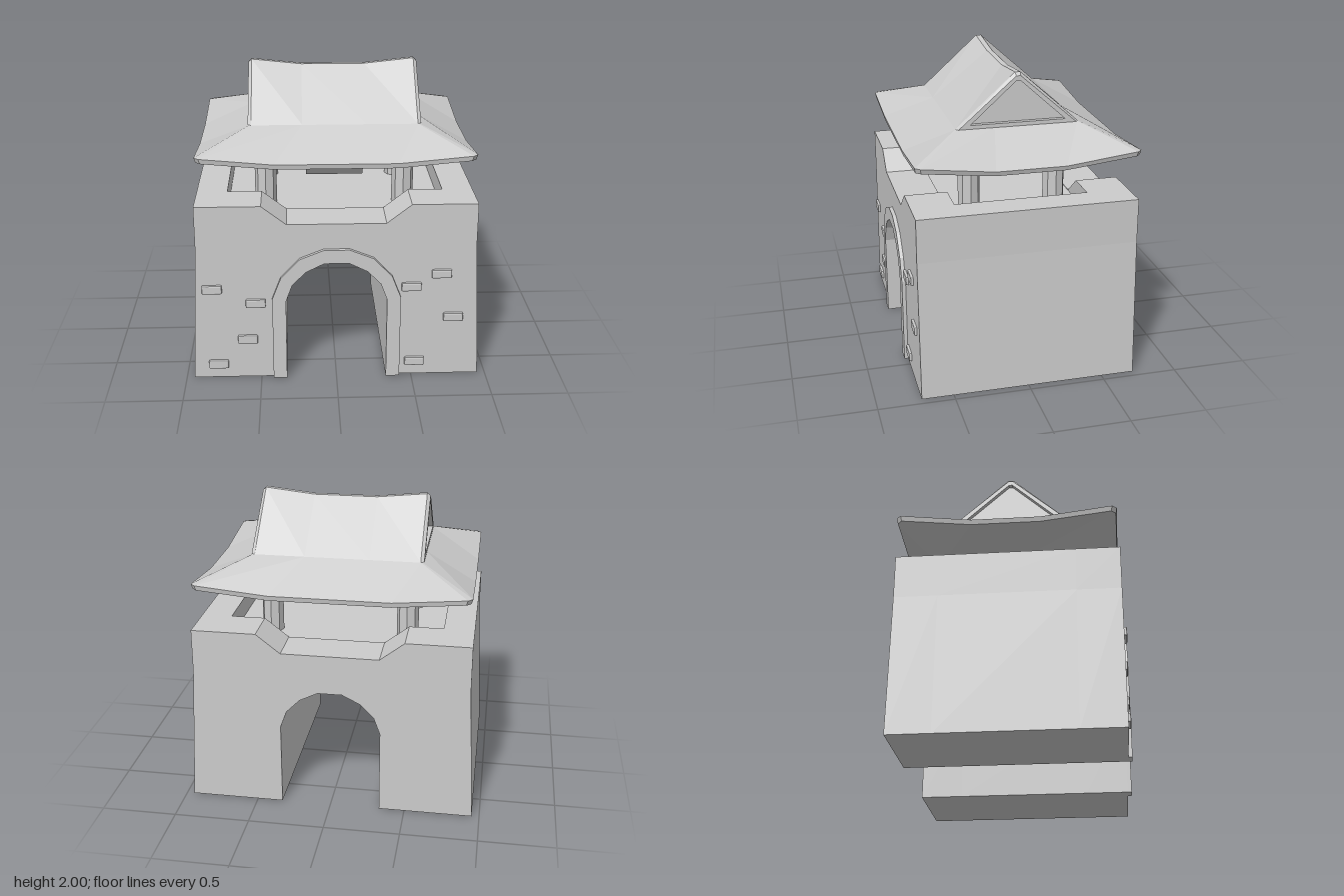
import * as THREE from 'three';
import { RoundedBoxGeometry } from 'three/addons/geometries/RoundedBoxGeometry.js';

const stone = new THREE.MeshStandardMaterial({ color: 0xcccccc, flatShading: true });

// Mirror right-hand points (x > 0) to make a path running left to right
const mirrored = (pts) => [...pts.map(([x, y]) => [-x, y]), ...[...pts].reverse()];

const archInner = mirrored([[0.33, 0], [0.33, 0.565], [0.288, 0.68], [0.2, 0.77], [0.08, 0.83]]);
const archOuter = mirrored([[0.42, 0], [0.42, 0.58], [0.362, 0.73], [0.24, 0.86], [0.083, 0.923]]);

function addMesh(parent, name, geometry, x = 0, y = 0, z = 0) {
  const mesh = new THREE.Mesh(geometry, stone);
  mesh.name = name;
  mesh.position.set(x, y, z);
  parent.add(mesh);
  return mesh;
}

// Extrude an outline from z0 to z1
function slab(points, z0, z1) {
  const shape = new THREE.Shape(points.map(([x, y]) => new THREE.Vector2(x, y)));
  const g = new THREE.ExtrudeGeometry(shape, { depth: z1 - z0, bevelEnabled: false });
  return g.translate(0, 0, z0);
}

// Skin a list of closed rings (counter-clockwise around the direction of travel) and cap both ends
function loft(rings) {
  const pos = [];
  const tri = (...corners) => corners.forEach((p) => pos.push(...p));
  const n = rings[0].length;
  for (let i = 0; i < rings.length - 1; i++) {
    for (let j = 0; j < n; j++) {
      const k = (j + 1) % n;
      const [a, b, c, d] = [rings[i][j], rings[i][k], rings[i + 1][k], rings[i + 1][j]];
      tri(a, b, c);
      tri(a, c, d);
    }
  }
  const first = rings[0], last = rings[rings.length - 1];
  for (let j = 1; j < n - 1; j++) {
    tri(first[0], first[j + 1], first[j]);
    tri(last[0], last[j], last[j + 1]);
  }
  const g = new THREE.BufferGeometry();
  g.setAttribute('position', new THREE.Float32BufferAttribute(pos, 3));
  g.computeVertexNormals();
  return g;
}

// Gate block: front and back walls with a dipped parapet, middle with a sunken floor
function buildWalls() {
  const walls = new THREE.Group();
  walls.name = 'gateWalls';
  const section = (top) => [
    [-0.95, 0], ...archInner, [0.95, 0], [0.905, 0.93], [0.905, 1.22],
    ...mirrored(top).reverse(), [-0.905, 1.22], [-0.905, 0.93],
  ];
  const parapet = section([[0.48, 1.22], [0.32, 1.095]]);
  const terrace = section([[0.705, 1.22], [0.705, 1.09]]);
  addMesh(walls, 'frontWall', slab(parapet, 0.43, 0.71));
  addMesh(walls, 'terraceAndPassage', slab(terrace, -0.44, 0.43));
  addMesh(walls, 'backWall', slab(parapet, -0.72, -0.44));

  // Raised band around the front of the arch
  addMesh(walls, 'archTrim', slab([...archOuter, ...[...archInner].reverse()], 0.70, 0.735));

  // Scattered raised stones
  const bricks = [
    [-0.81, 0.648], [-0.528, 0.545], [-0.585, 0.283], [-0.783, 0.1],
    [0.685, 0.738], [0.49, 0.648], [0.77, 0.425], [0.52, 0.1],
  ];
  for (const [x, y] of bricks) {
    addMesh(walls, 'raisedStone', new RoundedBoxGeometry(0.13, 0.06, 0.04, 1, 0.008), x, y, 0.708);
  }
  return walls;
}

// Eave-shaped ring of 16 points; corners may lift above the middle of each side
function eaveRing(w, d, cut, midX, midZ, yCorner, yFront, ySide) {
  const zc = -0.018;
  const half = [
    [-(w - cut), yCorner, d], [-midX, yFront, d], [midX, yFront, d], [w - cut, yCorner, d],
    [w, yCorner, d - cut], [w, ySide, midZ], [w, ySide, -midZ], [w, yCorner, -(d - cut)],
  ];
  return [...half, ...half.map(([x, y, z]) => [-x, y, -z])].map(([x, y, z]) => [x, y, z + zc]);
}

// Vertical gable section at x: ridge front, foot front, foot back, ridge back
function gableRing(x, foot, yFoot, ridge, yRidge) {
  const zc = -0.018;
  return [
    [x, yRidge, zc + ridge], [x, yFoot, zc + foot], [x, yFoot, zc - foot], [x, yRidge, zc - ridge],
  ];
}

function buildRoof() {
  const roof = new THREE.Group();
  roof.name = 'roof';

  // Soffit, eave edge and hipped slopes
  addMesh(roof, 'hippedEaves', loft([
    eaveRing(0.59, 0.435, 0.015, 0.3, 0.16, 1.39, 1.39, 1.39),
    eaveRing(0.88, 0.712, 0.03, 0.39, 0.225, 1.502, 1.46, 1.45),
    eaveRing(0.89, 0.718, 0.03, 0.39, 0.225, 1.535, 1.492, 1.48),
    eaveRing(0.55, 0.402, 0.008, 0.21, 0.15, 1.655, 1.655, 1.655),
  ]));

  // Sagging ridge with chamfered, recessed gable ends
  const side = [
    [0.21, 0.402, 1.655, 0.018, 1.965],
    [0.54, 0.402, 1.655, 0.018, 2.0],
    [0.562, 0.385, 1.655, 0.014, 1.98],
    [0.562, 0.31, 1.68, 0.012, 1.95],
    [0.53, 0.31, 1.68, 0.012, 1.95],
  ];
  addMesh(roof, 'gableRoof', loft([
    ...[...side].reverse().map(([x, ...r]) => gableRing(-x, ...r)),
    ...side.map((r) => gableRing(...r)),
  ]));
  return roof;
}

export function createModel() {
  const model = new THREE.Group();
  model.name = 'gatehouse';
  model.add(buildWalls(), buildRoof());

  // Four octagonal posts between terrace and roof
  for (const x of [-0.456, 0.456]) {
    for (const z of [0.283, -0.288]) {
      const post = new THREE.CylinderGeometry(0.072, 0.072, 0.33, 8);
      addMesh(model, 'post', post, x, 1.25, z);
    }
  }

  // Thin board tilted to face down over the gateway
  const board = addMesh(model, 'signBoard', new THREE.BoxGeometry(0.375, 0.13, 0.01), 0, 1.333, 0.33);
  board.rotation.x = Math.PI / 4;
  return model;
}
